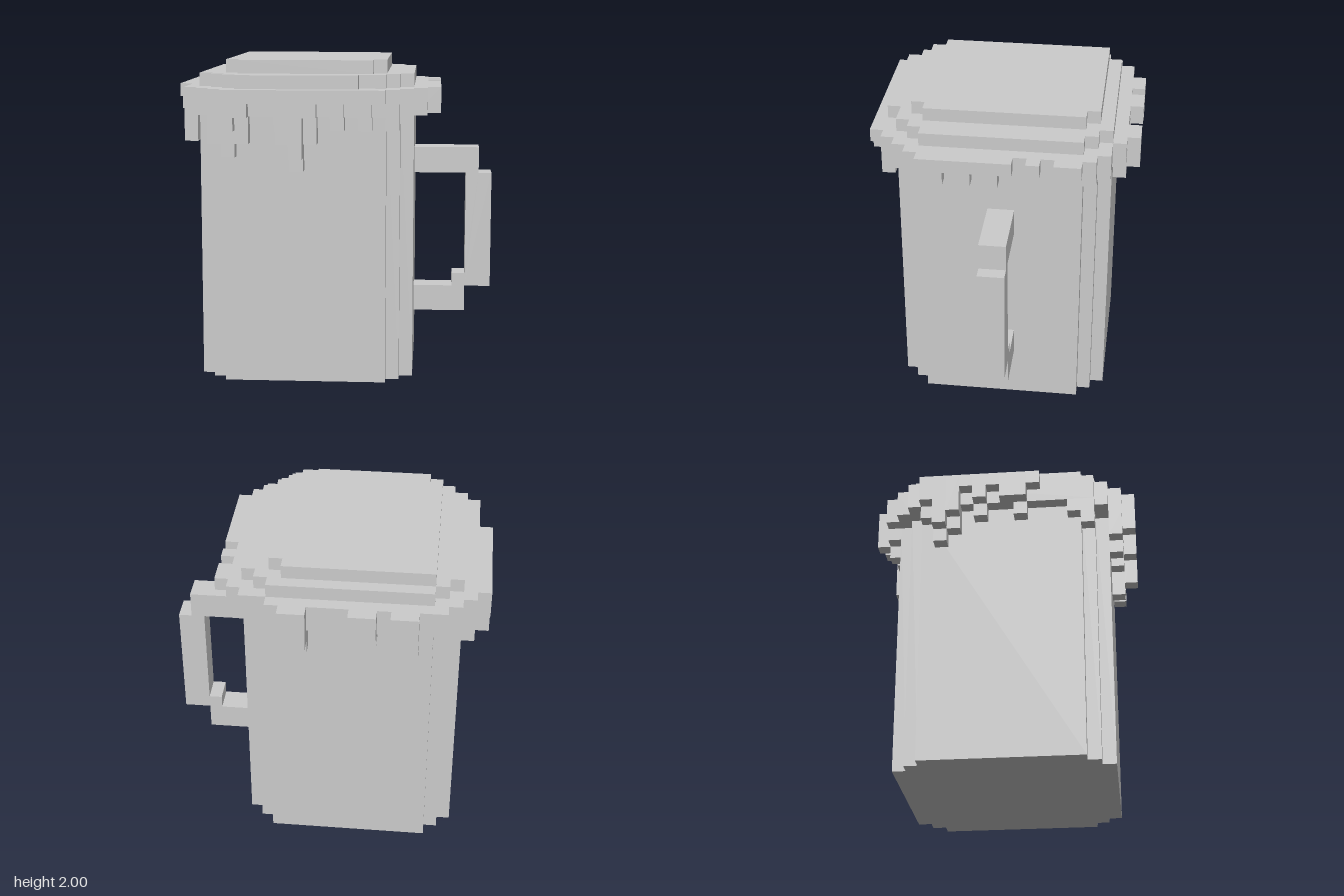
import * as THREE from 'three';

const U = 1 / 12; // one block

export function createModel() {
  const group = new THREE.Group();
  const material = new THREE.MeshStandardMaterial({ color: 0xcccccc, flatShading: true });

  function add(parent, name, geometry) {
    const mesh = new THREE.Mesh(geometry, material);
    mesh.name = name;
    parent.add(mesh);
  }

  // Box given by its limits in blocks
  function block(parent, name, x0, x1, y0, y1, z0, z1) {
    const g = new THREE.BoxGeometry((x1 - x0) * U, (y1 - y0) * U, (z1 - z0) * U);
    g.translate((x0 + x1) * U / 2, (y0 + y1) * U / 2, (z0 + z1) * U / 2);
    add(parent, name, g);
  }

  // Stepped slab from rows [zEnd, xMin, xMax], ordered from back to front
  function slab(name, zStart, rows, y0, y1) {
    const left = [], right = [];
    let z = zStart;
    for (const [zEnd, xMin, xMax] of rows) {
      left.push([xMin, z], [xMin, zEnd]);
      right.push([xMax, z], [xMax, zEnd]);
      z = zEnd;
    }
    const outline = [...left, ...right.reverse()];
    const shape = new THREE.Shape(outline.map(([x, pz]) => new THREE.Vector2(x * U, -pz * U)));
    const g = new THREE.ExtrudeGeometry(shape, { depth: (y1 - y0) * U, bevelEnabled: false });
    g.rotateX(-Math.PI / 2);
    g.translate(0, y0 * U, 0);
    add(group, name, g);
  }

  // Mug body with stepped corners
  slab('mugBody', -8, [[-7, -8, 4], [-6, -9, 5], [6, -10, 6], [7, -9, 5], [8, -8, 4]], 0, 20);

  // Foam: overhanging rim and two smaller layers on top
  slab('foamRim', -9,
    [[-8, -9, 4], [-7, -10, 6], [7, -11, 7], [8, -10, 6], [9, -9, 5]], 20, 22);
  slab('foamMiddle', -8,
    [[-7, -8, 4], [-6, -9, 5], [6, -10, 6], [7, -9, 5], [8, -8, 4], [9, -7, 2]], 22, 23);
  slab('foamTop', -7, [[-6, -8, 3], [6, -8, 4], [7, -7, 3]], 23, 24);

  // Drips: bottom heights of consecutive columns, 0 where there is none
  const drips = new THREE.Group();
  drips.name = 'foamDrips';
  group.add(drips);

  function dripsAlongX(name, start, z, top, bottoms) {
    bottoms.forEach((b, i) => {
      if (b) block(drips, name, start + i, start + i + 1, b, top, z, z + 1);
    });
  }
  function dripsAlongZ(name, start, x, top, bottoms) {
    bottoms.forEach((b, i) => {
      if (b) block(drips, name, x, x + 1, b, top, start + i, start + i + 1);
    });
  }

  dripsAlongX('frontOuterDrip', -8, 9, 22, [19, 20, 21, 21, 19, 17, 20, 21, 20, 21, 20, 21]);
  dripsAlongX('frontInnerDrip', -9, 8, 20, [18, 17, 18, 0, 0, 18, 16, 18, 0, 19, 0, 19, 0, 19]);
  dripsAlongX('backOuterDrip', -7, -10, 22, [19, 20, 0, 20, 21, 0, 0, 0, 19, 21]);
  dripsAlongX('backInnerDrip', -8, -9, 20, [19, 18, 0, 0, 19, 0, 0, 0, 0, 18]);
  dripsAlongZ('rightOuterDrip', -6, -12, 22, [20, 18, 19, 21, 20, 21, 20, 20, 21]);
  dripsAlongZ('rightInnerDrip', -6, -11, 20, [19, 17, 18, 0, 19, 0, 0, 19, 0, 0, 0, 19, 18]);
  dripsAlongZ('leftOuterDrip', -6, 7, 22, [21, 21, 0, 21, 0, 21, 20, 21, 20, 21, 20, 21]);

  // Handle
  const h = (x, y) => new THREE.Vector2(x * U, y * U);
  const handle = new THREE.Shape([
    h(6, 4), h(10, 4), h(10, 6), h(12, 6), h(12, 15), h(11, 15), h(11, 17), h(6, 17),
    h(6, 15), h(10, 15), h(10, 7), h(9, 7), h(9, 6), h(6, 6),
  ]);
  const handleGeometry = new THREE.ExtrudeGeometry(handle, { depth: 2 * U, bevelEnabled: false });
  handleGeometry.translate(0, 0, -U);
  add(group, 'handle', handleGeometry);

  return group;
}
